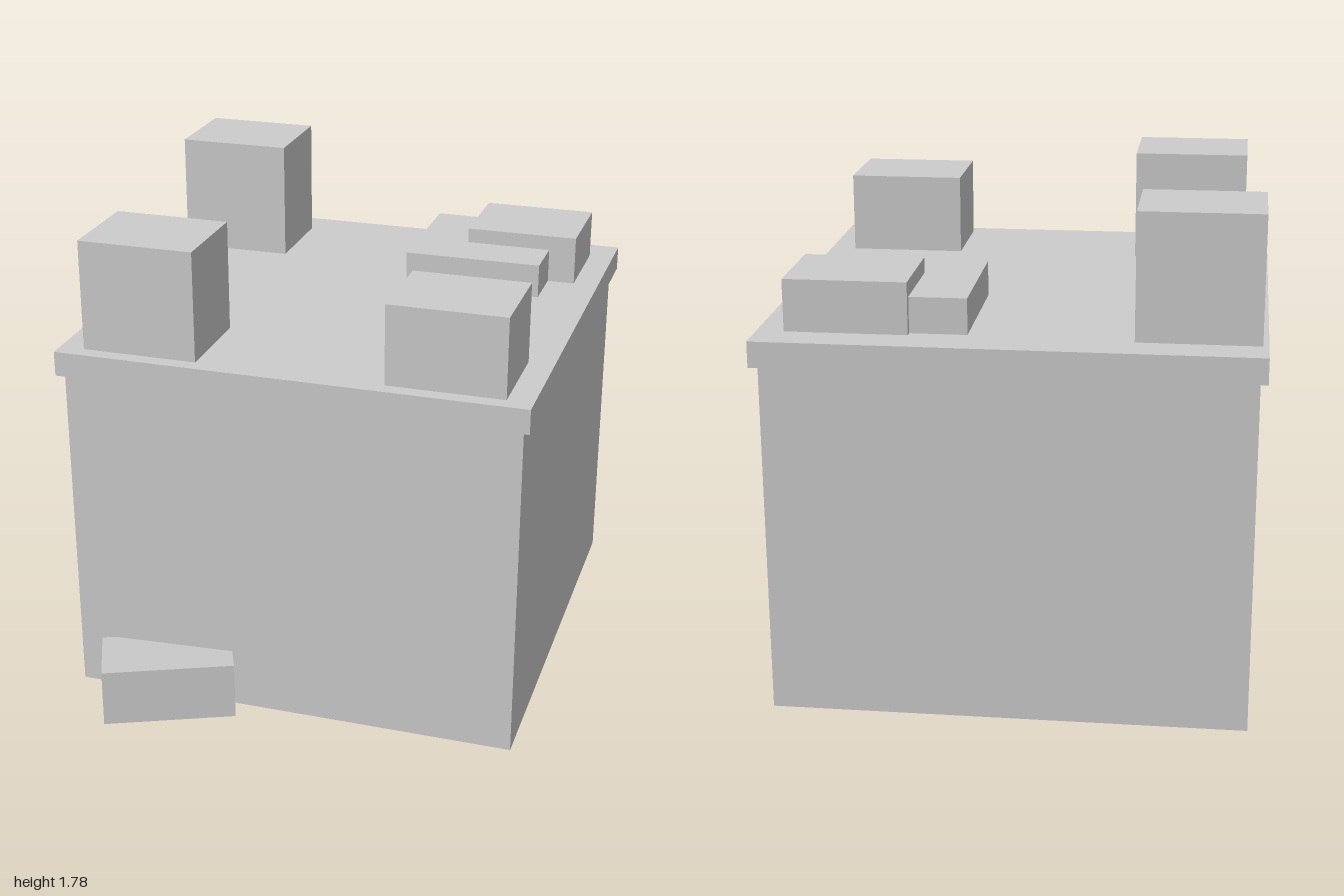
import * as THREE from 'three';

export function createModel() {
  const group = new THREE.Group();
  const grey = new THREE.MeshStandardMaterial({ color: 0xcccccc });
  grey.name = 'light grey';

  // Box from its lower and upper limits on each axis
  function block(name, [x0, x1], [y0, y1], [z0, z1]) {
    const mesh = new THREE.Mesh(new THREE.BoxGeometry(x1 - x0, y1 - y0, z1 - z0), grey);
    mesh.position.set((x0 + x1) / 2, (y0 + y1) / 2, (z0 + z1) / 2);
    mesh.name = name;
    group.add(mesh);
  }

  // Main volume and overhanging roof slab
  const roofTop = 1.34;
  block('body', [-0.825, 0.825], [0, 1.25], [-0.97, 0.675]);
  block('roofSlab', [-0.85, 0.85], [1.25, roofTop], [-1, 0.7]);

  // Corner blocks on the roof, each with its own height
  const back = [-0.87, -0.527], front = [0.3, 0.645];
  block('backRightBlock', [-0.83, -0.413], [roofTop, 1.777], back);
  block('frontRightBlock', [-0.76, -0.342], [roofTop, 1.74], front);
  block('frontLeftBlock', [0.338, 0.757], [roofTop, 1.63], front);
  block('backLeftBlock', [0.338, 0.757], [roofTop, 1.52], back);

  // Low plinth running into the back left block
  block('lowPlinth', [0.142, 0.656], [roofTop, 1.465], [-0.845, -0.338]);

  // Turned and tilted block leaning out of the foot of the front wall
  const foot = new THREE.Mesh(new THREE.BoxGeometry(0.475, 0.201, 0.31), grey);
  foot.name = 'tiltedFootBlock';
  foot.rotation.set(-0.11, 0.411, 0, 'YXZ');
  foot.position.set(-0.45, 0.117, 0.751);
  group.add(foot);

  return group;
}
